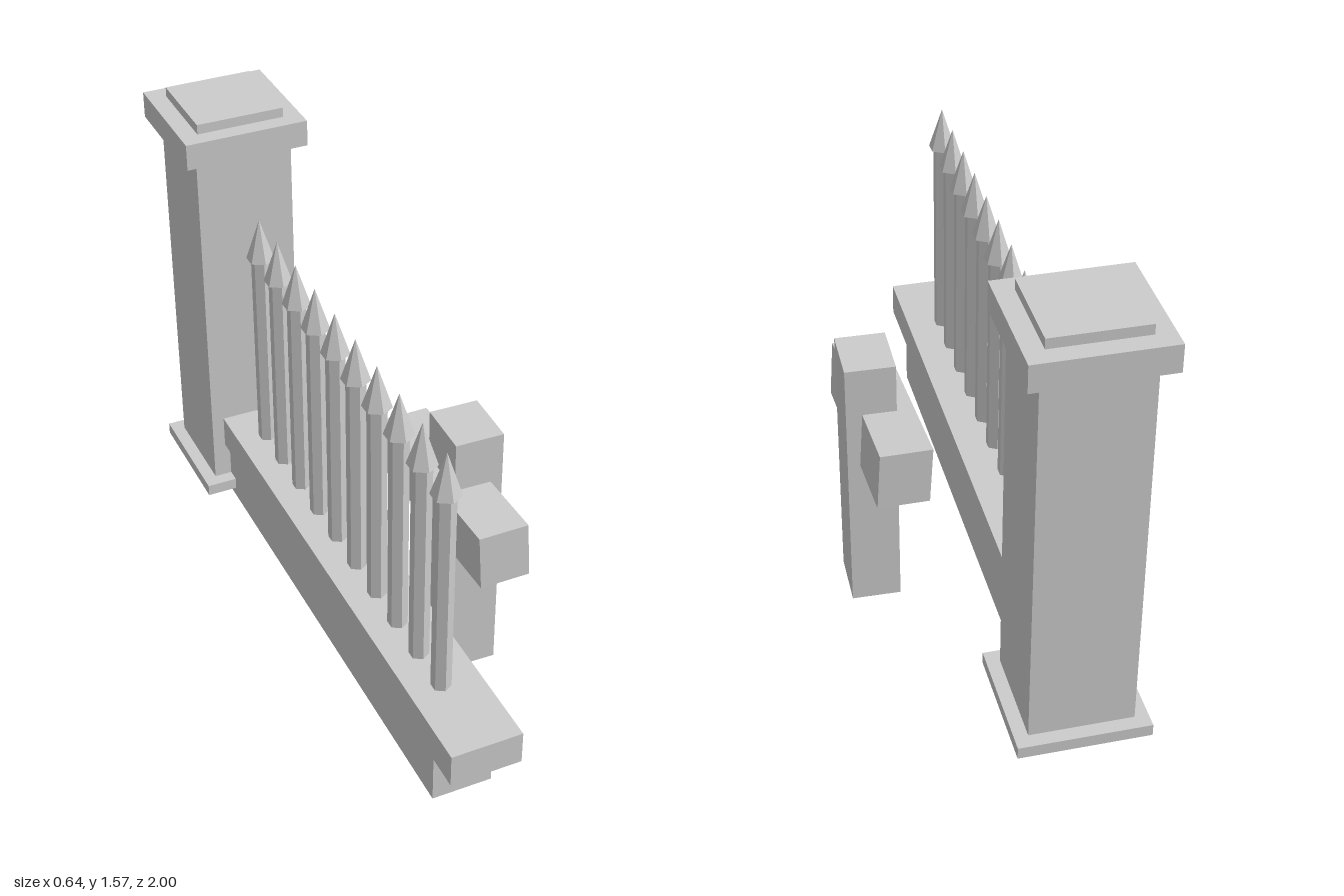
import * as THREE from 'three';

export function createModel() {
  const model = new THREE.Group();
  const material = new THREE.MeshStandardMaterial({ color: 0xcccccc, flatShading: true });

  const add = (name, geometry, x, y, z, parent = model) => {
    const mesh = new THREE.Mesh(geometry, material);
    mesh.name = name;
    mesh.position.set(x, y, z);
    parent.add(mesh);
    return mesh;
  };

  // Box given by its lower and upper limits on each axis
  const box = (name, [x0, x1], [y0, y1], [z0, z1], parent) =>
    add(name, new THREE.BoxGeometry(x1 - x0, y1 - y0, z1 - z0),
      (x0 + x1) / 2, (y0 + y1) / 2, (z0 + z1) / 2, parent);

  // Stone pillar at the back end
  const pillar = new THREE.Group();
  pillar.name = 'pillar';
  model.add(pillar);
  box('pillarBase', [-0.32, 0.06], [0.257, 0.294], [-1, -0.617], pillar);
  box('pillarShaft', [-0.28, 0.02], [0.294, 1.455], [-0.958, -0.658], pillar);
  box('pillarCap', [-0.32, 0.06], [1.455, 1.536], [-1, -0.622], pillar);
  box('pillarCapTop', [-0.265, 0.005], [1.536, 1.566], [-0.945, -0.675], pillar);

  // Low wall with its overhanging coping
  box('wall', [-0.225, -0.045], [0.225, 0.413], [-0.787, 0.866]);
  box('wallCoping', [-0.241, -0.029], [0.413, 0.516], [-0.92, 1]);

  // Row of hexagonal railings with pointed tips
  const shaft = new THREE.CylinderGeometry(0.029, 0.029, 0.68, 6);
  const tip = new THREE.ConeGeometry(0.043, 0.132, 6);
  for (let i = 0; i < 10; i++) {
    const railing = new THREE.Group();
    railing.name = 'railing';
    railing.position.set(-0.145, 0, 0.742 - i * 0.1396);
    model.add(railing);
    add('railingShaft', shaft, 0, 0.84, 0, railing);
    add('railingTip', tip, 0, 1.239, 0, railing);
  }

  // Crooked wooden cross: slightly turned post and skewed crossbar
  const cross = new THREE.Group();
  cross.name = 'cross';
  model.add(cross);
  const post = box('crossPost', [0.161, 0.314], [0, 0.866], [0.024, 0.208], cross);
  post.rotation.y = -0.028;

  const bar = new THREE.BoxGeometry(0.157, 0.185, 0.625);
  bar.applyMatrix4(new THREE.Matrix4().set(
    1, -0.06, 0.036, 0,
    0, 1, -0.019, 0,
    0, 0, 1, 0,
    0, 0, 0, 1));
  add('crossBar', bar, 0.198, 0.613, 0.118, cross);

  return model;
}
